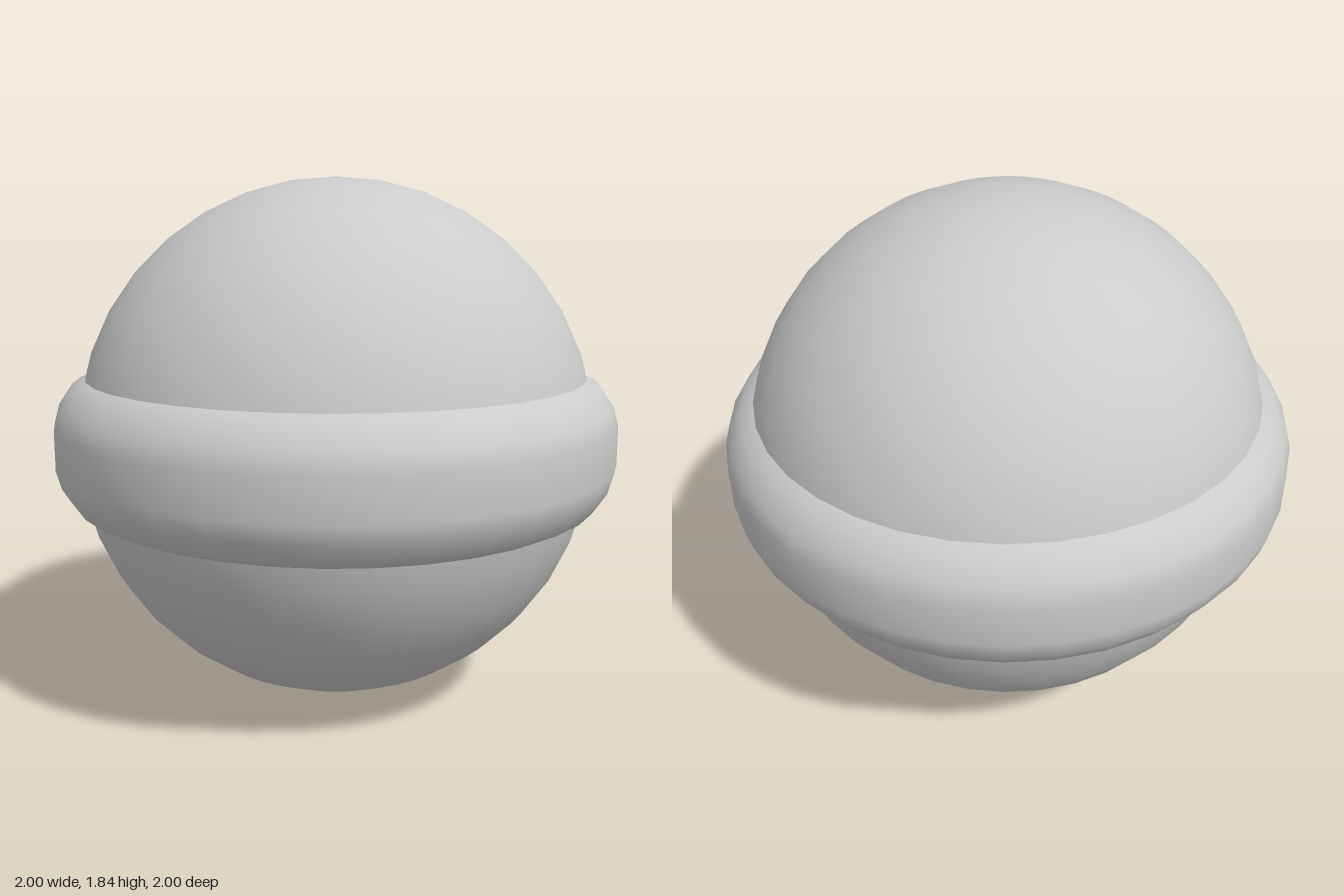
import * as THREE from 'three';

const SEGMENTS = 36;
const RADIUS = 0.92;

export function createModel() {
  const group = new THREE.Group();
  const material = new THREE.MeshStandardMaterial({ color: 0xcccccc });
  const add = (name, geometry) => {
    const mesh = new THREE.Mesh(geometry, material);
    mesh.name = name;
    mesh.position.y = RADIUS;
    group.add(mesh);
  };

  // Smooth ball
  add('ball', new THREE.SphereGeometry(RADIUS, SEGMENTS, 18));

  // Rounded belt: upper half of the outer profile, mirrored below the equator
  const upper = [[0.885, 0.23], [0.935, 0.205], [0.982, 0.135], [1, 0.07]];
  const lower = upper.map(([r, y]) => [r, -y]);
  const profile = [...lower, ...upper.reverse()].map(([r, y]) => new THREE.Vector2(r, y));
  add('belt', new THREE.LatheGeometry(profile, SEGMENTS));

  return group;
}
